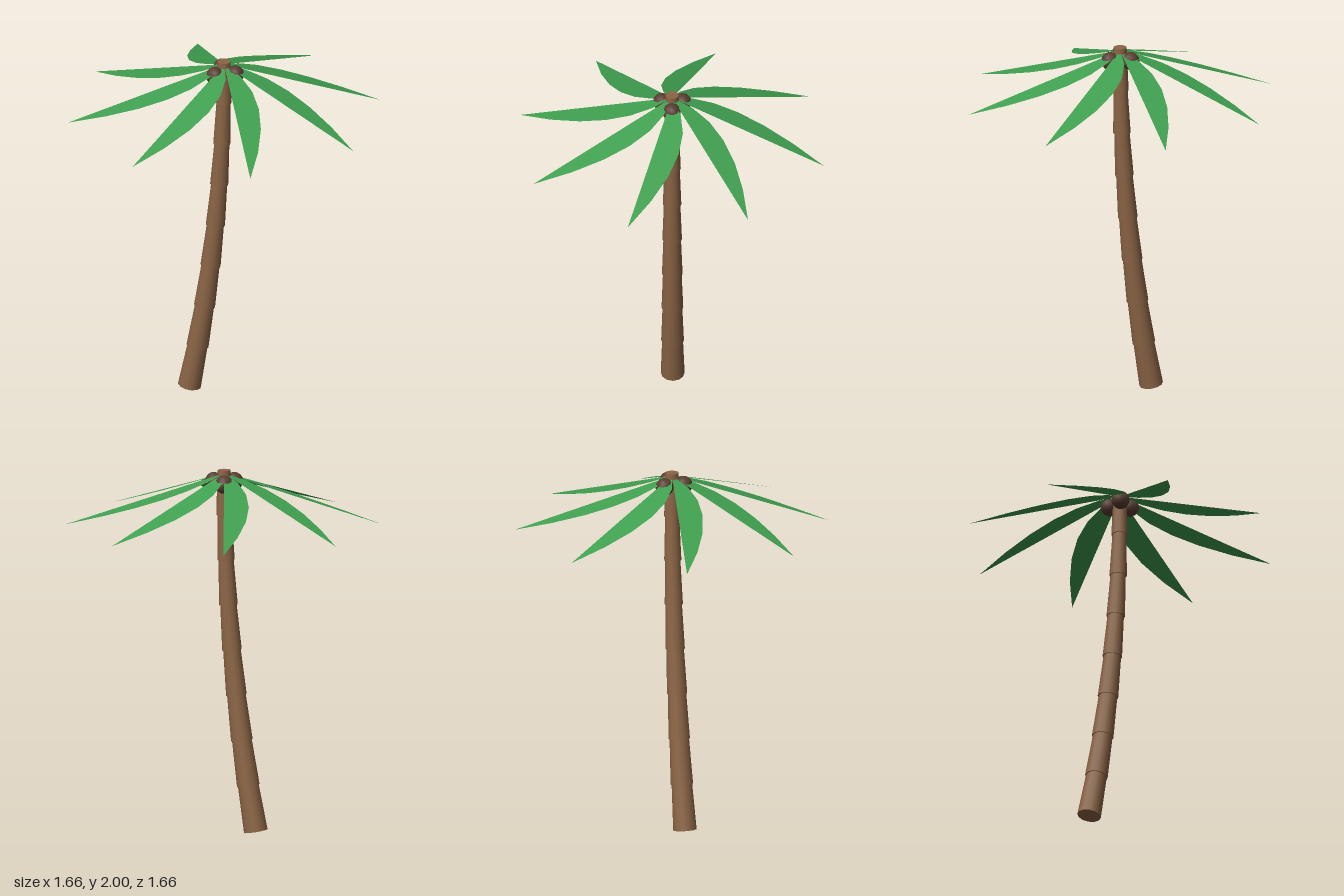
import * as THREE from 'three';

const trunkMat = new THREE.MeshStandardMaterial({ name: 'bark brown', color: 0x8b6545 });
const leafMat = new THREE.MeshStandardMaterial({ name: 'leaf green', color: 0x40a050, side: THREE.DoubleSide });
const nutMat = new THREE.MeshStandardMaterial({ name: 'coconut brown', color: 0x5a3d32 });

const SEGMENTS = 8;
const FRONDS = 8;

// Centre line of the leaning trunk, t from 0 (ground) to 1 (top)
const trunkPoint = (t) => new THREE.Vector3(-0.2 * (1 - t) ** 2, 0.014 + 1.986 * t, 0);

// Stacked tapered segments, each overhanging the one below
function makeTrunk() {
  const trunk = new THREE.Group();
  trunk.name = 'trunk';
  const up = new THREE.Vector3(0, 1, 0);
  for (let i = 0; i < SEGMENTS; i++) {
    const a = trunkPoint(i / SEGMENTS);
    const b = trunkPoint((i + 1) / SEGMENTS);
    const dir = b.clone().sub(a);
    const geo = new THREE.CylinderGeometry(0.057 - 0.003 * i, 0.065 - 0.0029 * i, dir.length(), 12);
    const mesh = new THREE.Mesh(geo, trunkMat);
    mesh.name = 'trunkSegment';
    mesh.position.copy(a).add(b).multiplyScalar(0.5);
    mesh.quaternion.setFromUnitVectors(up, dir.normalize());
    trunk.add(mesh);
  }
  return trunk;
}

// Flat sickle-shaped frond: one curved edge, one straight edge, sloping down along x
function frondGeometry() {
  const shape = new THREE.Shape();
  shape.moveTo(0, 0);
  shape.quadraticCurveTo(0.303, 0.2, 0.832, -0.225);
  shape.lineTo(0, 0);
  const geo = new THREE.ShapeGeometry(shape, 6);
  geo.rotateX(-Math.PI / 2);
  const p = geo.attributes.position;
  for (let i = 0; i < p.count; i++) p.setY(i, -0.341 * p.getX(i));
  geo.computeVertexNormals();
  return geo;
}

export function createModel() {
  const palm = new THREE.Group();
  palm.name = 'palmTree';
  palm.add(makeTrunk());

  // Ring of fronds
  const crown = new THREE.Group();
  crown.name = 'crown';
  crown.position.y = 1.982;
  const geo = frondGeometry();
  for (let i = 0; i < FRONDS; i++) {
    const frond = new THREE.Mesh(geo, leafMat);
    frond.name = 'frond';
    frond.rotation.y = (i / FRONDS) * Math.PI * 2;
    crown.add(frond);
  }
  palm.add(crown);

  // Three coconuts tucked under the crown
  const nutGeo = new THREE.SphereGeometry(0.05, 10, 8);
  for (let i = 0; i < 3; i++) {
    const a = (i / 3) * Math.PI * 2;
    const nut = new THREE.Mesh(nutGeo, nutMat);
    nut.name = 'coconut';
    nut.position.set(0.064 * Math.cos(a), 1.932, 0.064 * Math.sin(a));
    palm.add(nut);
  }
  return palm;
}
